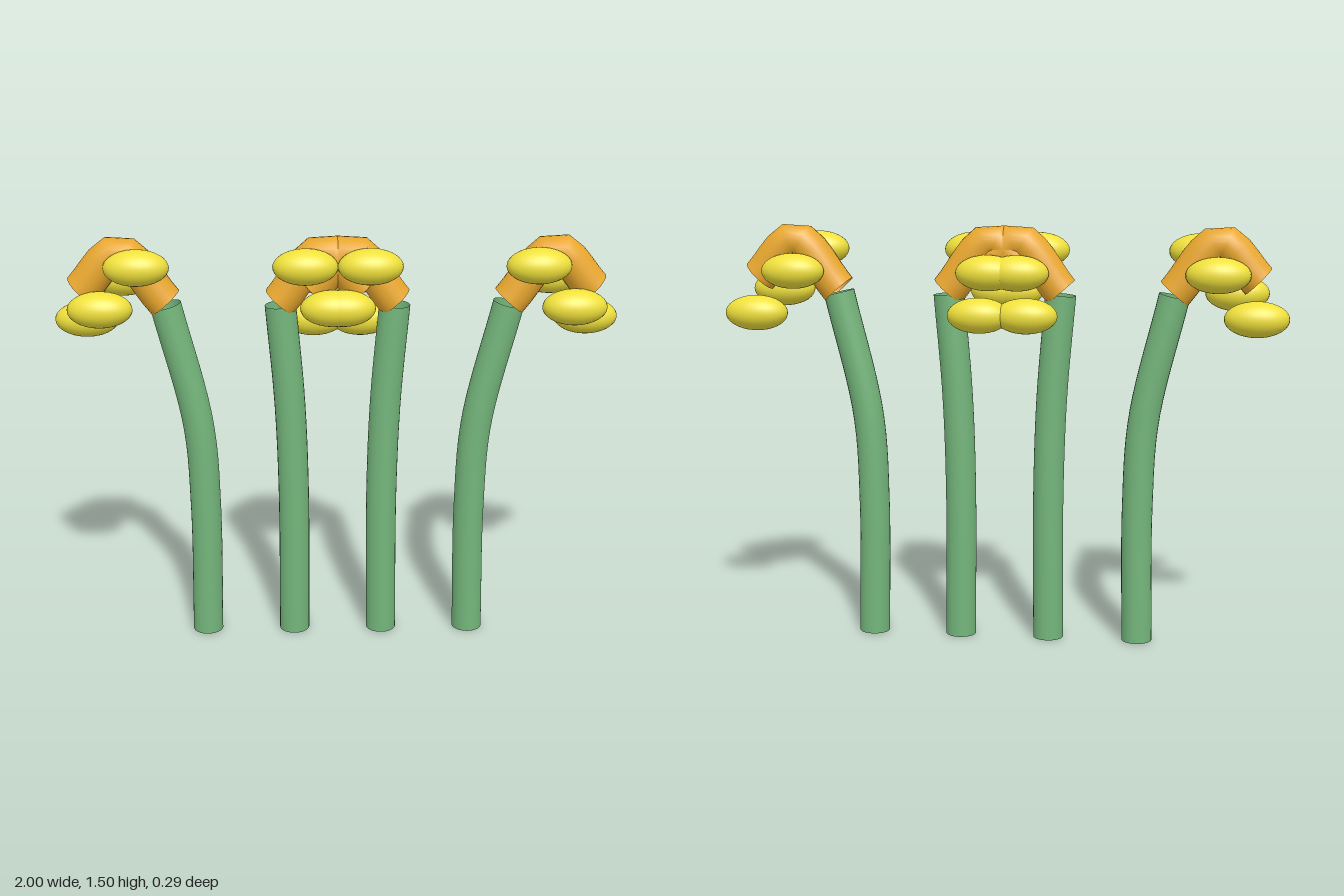
import * as THREE from 'three';

const green = new THREE.MeshStandardMaterial({ color: 0x74b57b, side: THREE.DoubleSide });
const orange = new THREE.MeshStandardMaterial({ color: 0xeba92f, side: THREE.DoubleSide });
const yellow = new THREE.MeshStandardMaterial({ color: 0xefe03c });

// Open tube swept through points in the XY plane
function tube(name, points, radius, segments, material) {
  const curve = new THREE.CatmullRomCurve3(points.map(([x, y]) => new THREE.Vector3(x, y, 0)));
  const mesh = new THREE.Mesh(new THREE.TubeGeometry(curve, segments, radius, 24, false), material);
  mesh.name = name;
  return mesh;
}

// Petal centres relative to the foot of the bent head, for a head bending towards +x or -x
const petals = [
  [0.09, 1.412, 0.075],
  [0.22, 1.265, 0.075],
  [0.15, 1.34, -0.075],
  [0.285, 1.19, -0.075],
];

// One flower: stem, bent head and four ellipsoid petals
function flower(name, stemPoints, headX, dir) {
  const group = new THREE.Group();
  group.name = name;
  group.add(tube('stem', stemPoints, 0.055, 24, green));

  const head = [[0, 1.27], [0.155, 1.448], [0.29, 1.315]];
  group.add(tube('bentHead', head.map(([x, y]) => [headX + dir * x, y]), 0.064, 10, orange));

  const petalGeometry = new THREE.SphereGeometry(1, 28, 18);
  for (const [x, y, z] of petals) {
    const petal = new THREE.Mesh(petalGeometry, yellow);
    petal.name = 'petal';
    petal.scale.set(0.113, 0.063, 0.069);
    petal.position.set(headX + dir * x, y, z);
    group.add(petal);
  }
  return group;
}

export function createModel() {
  const model = new THREE.Group();
  model.name = 'flowerRow';
  for (const s of [1, -1]) {
    const side = s > 0 ? 'left' : 'right';
    // Outer flowers lean and nod outwards
    const outer = [[0.487, 0], [0.482, 0.5], [0.5, 0.82], [0.6, 1.26]];
    model.add(flower(side + 'OuterFlower', outer.map(([x, y]) => [s * x, y]), s * 0.6, s));
    // Inner flowers nod towards the middle and cross each other
    const inner = [[0.162, 0], [0.16, 0.55], [0.171, 0.9], [0.2, 1.26]];
    model.add(flower(side + 'InnerFlower', inner.map(([x, y]) => [s * x, y]), s * 0.202, -s));
  }
  return model;
}
